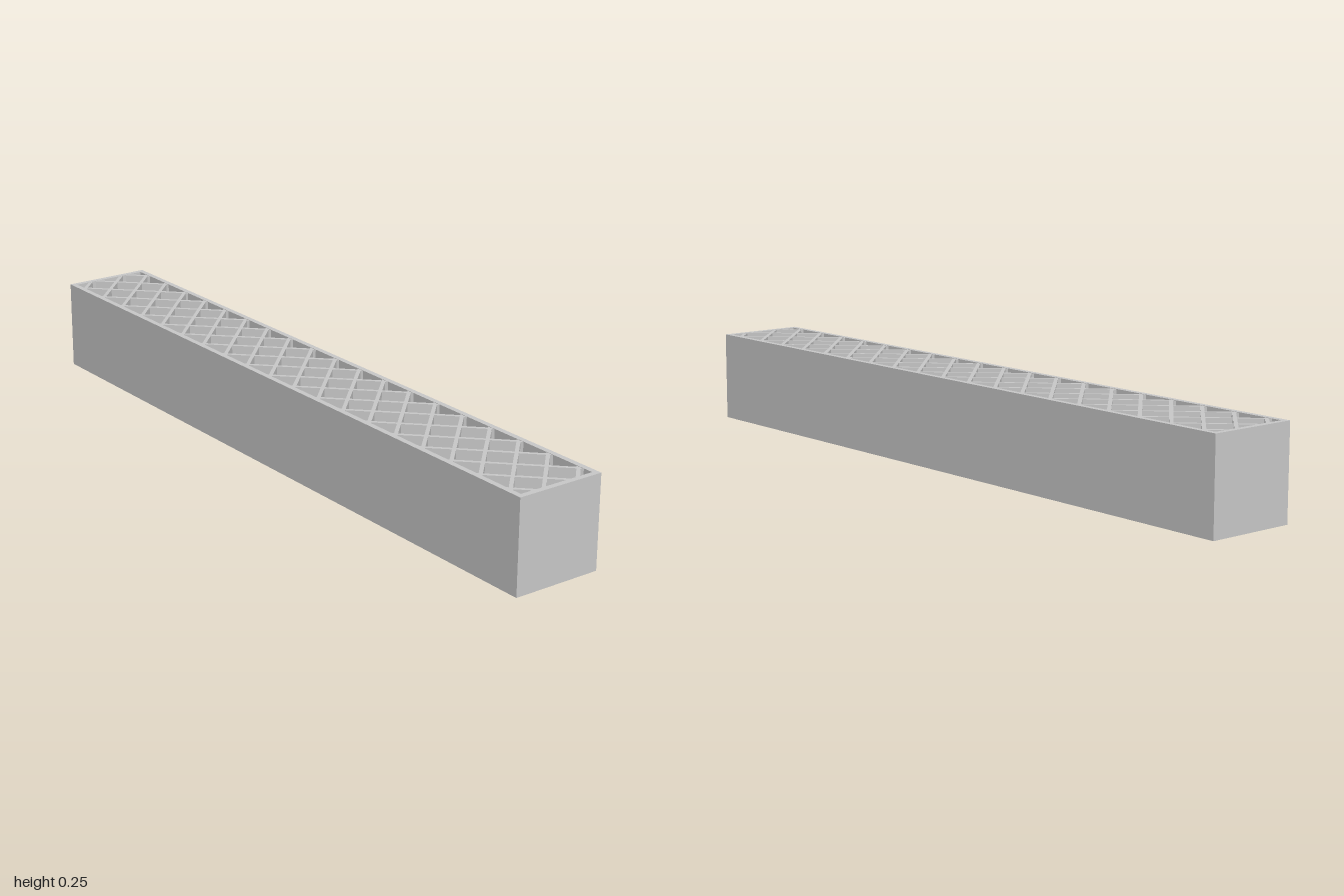
import * as THREE from 'three';

const LENGTH = 2, HEIGHT = 0.25, WIDTH = 0.25;
const RIM = 0.015, BAR = 0.01, PITCH = 0.105;

export function createModel() {
  const model = new THREE.Group();
  model.name = 'grating';
  const steel = new THREE.MeshStandardMaterial({ color: 0xc8c8c8 });
  steel.name = 'light grey steel';

  const addBox = (parent, name, w, h, d, x, z, turn = 0) => {
    const mesh = new THREE.Mesh(new THREE.BoxGeometry(w, h, d), steel);
    mesh.name = name;
    mesh.position.set(x, HEIGHT / 2, z);
    mesh.rotation.y = turn;
    parent.add(mesh);
  };

  // Outer frame: two long rails and two end plates
  const frame = new THREE.Group();
  frame.name = 'frame';
  for (const s of [-1, 1]) {
    addBox(frame, 'sideRail', LENGTH, HEIGHT, RIM, 0, s * (WIDTH - RIM) / 2);
    addBox(frame, 'endPlate', RIM, HEIGHT, WIDTH - 2 * RIM, s * (LENGTH - RIM) / 2, 0);
  }
  model.add(frame);

  // Full-height diagonal bars in both directions, clipped to the frame
  const lattice = new THREE.Group();
  lattice.name = 'lattice';
  const halfX = (LENGTH - RIM) / 2, halfZ = (WIDTH - RIM) / 2;
  const barHeight = HEIGHT - 0.002;
  for (const s of [-1, 1]) {
    for (let i = -10; i <= 10; i++) {
      // The bar follows x = c + s * z
      const c = i * PITCH;
      const x0 = Math.max(c - halfZ, -halfX), x1 = Math.min(c + halfZ, halfX);
      if (x1 - x0 < 0.02) continue;
      const mid = (x0 + x1) / 2;
      addBox(lattice, 'diagonalBar', (x1 - x0) * Math.SQRT2, barHeight, BAR,
        mid, s * (mid - c), -s * Math.PI / 4);
    }
  }
  model.add(lattice);
  return model;
}
